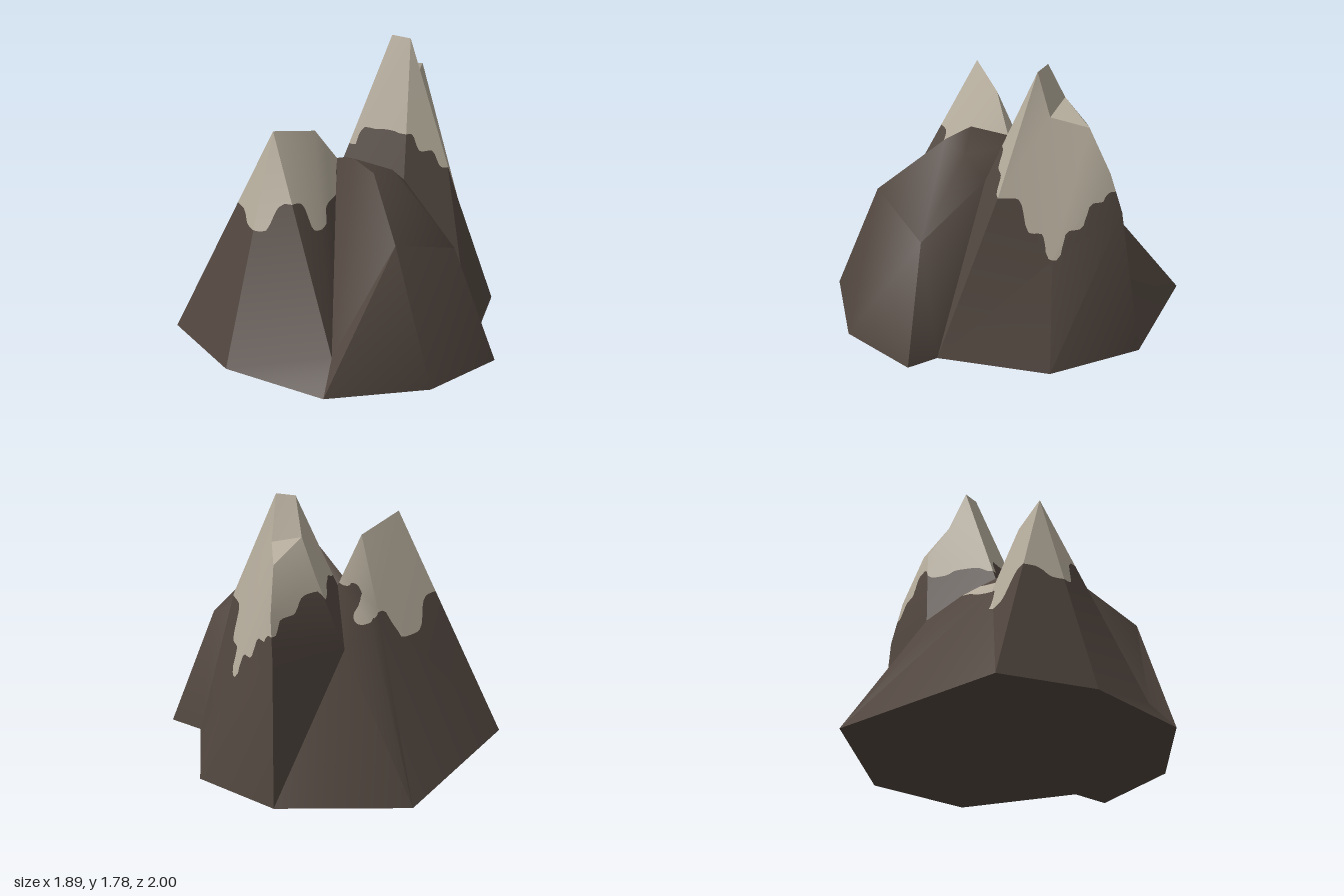
import * as THREE from 'three';
import { toCreasedNormals } from 'three/addons/utils/BufferGeometryUtils.js';

// Corner points of the ridges, valleys and foot [x, y, z]
const P = {
  b0: [-0.95, 0, 0], b1: [-0.26, 0, -1], b2: [0.56, 0, -0.87], b3: [0.92, 0, -0.38], b4: [0.8, 0, 0.31],
  b5: [0.94, 0, 0.47], b6: [0.56, 0, 0.87], b7: [-0.08, 0, 1], b8: [-0.66, 0, 0.59],
  // left peak and saddle
  A1: [-0.38, 1.39, 0.21], A2: [-0.13, 1.32, 0.06], L: [-0.2, 0.9, -0.09], V: [-0.03, 0.19, 0.83],
  C: [0, 1.1, -0.02], M: [-0.13, 0.9, -0.28], Q: [0.07, 0.84, -0.51], S: [0.04, 1.07, -0.09],
  // front hump
  T1: [0.1, 1.2, 0.19], T2: [0.22, 1.17, 0.33], T3: [0.33, 1.13, 0.2], R: [0.4, 1.0, 0.07],
  H1: [0.35, 0.88, 0.72], H2: [0.7, 0.72, 0.42],
};
// rear peak
const REAR = {
  A3: [0.44, 1.78, -0.25], A4: [0.33, 1.78, -0.3], D1: [0.48, 1.5, -0.33], D2: [0.31, 1.55, -0.4],
  D3: [0.25, 1.35, -0.52], B: [0.51, 1.46, -0.57], F: [0.66, 1.04, -0.04], G: [0.72, 0.66, -0.37],
  K1: [0.55, 0.92, -0.77], K2: [0.55, 1.18, -0.7],
};
Object.assign(P, REAR);

// Faces of each part, as corner names
const PARTS = [
  { name: 'leftPeak', crease: 0.45, snow: true,
    faces: 'A1 b0 b8,A1 b8 V,b8 b7 V,A1 b0 L,A1 L A2,A1 A2 V,A2 C V' },
  { name: 'backSlope', crease: 1.2, snow: true,
    faces: 'A2 L C,b0 b1 L,L b1 M,L M C,M b1 Q,M Q S,M S C,b1 b2 Q' },
  { name: 'frontHump', crease: 1.3, snow: false,
    faces: 'C S T1,S R T3,S T3 T1,C T1 V,T1 T3 T2,T1 T2 V,V T2 H1,V b7 H1,b7 b6 H1,' +
      'T2 T3 H2,T2 H2 H1,H1 H2 b6,H2 b5 b6,T3 R H2,R b4 H2,H2 b4 b5' },
  { name: 'rearPeak', crease: 0.5, snow: true,
    faces: 'S R A3,S A3 A4,R F A3,R b4 F,F b4 G,b4 b3 G,A3 F D1,D1 F G,D1 G B,B G K2,G b3 K1,G K1 K2,b3 b2 K1,' +
      'A3 D1 A4,A4 D1 D2,D1 B D2,D2 B D3,B K2 D3,D3 K2 Q,K2 K1 Q,K1 b2 Q,S A4 D2,S D2 D3,S D3 Q' },
];

// Samples of the snow line: x, height, z
const SNOW_LEFT = [
  [-0.59, 0.88, 0.14], [-0.5, 0.81, 0.37], [-0.26, 1.0, 0.42], [-0.08, 0.83, 0.4], [-0.03, 0.93, 0.2],
  [0, 1.05, -0.05], [-0.13, 0.9, -0.28], [-0.2, 0.88, -0.14], [-0.4, 0.69, -0.06], [0.05, 1.2, -0.12],
];
const SNOW_REAR = [
  [0.1, 1.15, -0.1], [0.16, 1.26, -0.09], [0.3, 1.26, -0.05], [0.41, 1.25, -0.04], [0.53, 1.14, -0.04],
  [0.66, 1.03, -0.05], [0.67, 1.03, -0.1], [0.7, 0.82, -0.28], [0.72, 0.66, -0.37], [0.68, 0.84, -0.5],
  [0.6, 1.0, -0.65], [0.56, 1.06, -0.71], [0.45, 1.15, -0.66], [0.28, 1.25, -0.56], [0.15, 1.17, -0.45],
  [0.14, 1.2, -0.3],
];

// Height above the snow line, blended from the nearest samples
function aboveSnowLine(p, samples) {
  let sum = 0, total = 0;
  for (const [x, y, z] of samples) {
    const w = 1 / (((p.x - x) ** 2 + (p.z - z) ** 2) ** 2 + 1e-7);
    sum += w * y;
    total += w;
  }
  return p.y - sum / total;
}

// Every face of the slopes looks upward
function coarseGeometry(faces, crease) {
  const out = [];
  for (const face of faces.split(',')) {
    let [a, b, c] = face.split(' ').map((n) => new THREE.Vector3(...P[n]));
    const up = b.clone().sub(a).cross(c.clone().sub(a)).y;
    if (up < 0) [b, c] = [c, b];
    for (const v of [a, b, c]) out.push(v.x, v.y, v.z);
  }
  const g = new THREE.BufferGeometry();
  g.setAttribute('position', new THREE.Float32BufferAttribute(out, 3));
  return toCreasedNormals(g, crease);
}

const mix = (a, b, t) => ({ p: a.p.clone().lerp(b.p, t), n: a.n.clone().lerp(b.n, t).normalize() });

// Keeps the part of a triangle where sign * h is positive
function clip(tri, sign, list) {
  const poly = [];
  tri.forEach((a, i) => {
    const b = tri[(i + 1) % 3];
    if (a.h * sign >= 0) poly.push(a);
    if (a.h * b.h < 0) poly.push(mix(a, b, a.h / (a.h - b.h)));
  });
  for (let i = 2; i < poly.length; i++) list.push(poly[0], poly[i - 1], poly[i]);
}

// Divides a triangle finely, then cuts it along the snow line
function divide(a, b, c, depth, samples, snow, rock) {
  if (depth > 0) {
    const ab = mix(a, b, 0.5), bc = mix(b, c, 0.5), ca = mix(c, a, 0.5);
    for (const t of [[a, ab, ca], [ab, b, bc], [ca, bc, c], [ab, bc, ca]]) divide(...t, depth - 1, samples, snow, rock);
    return;
  }
  const tri = [a, b, c].map((v) => ({ ...v, h: aboveSnowLine(v.p, samples) || 1e-9 }));
  clip(tri, 1, snow);
  clip(tri, -1, rock);
}

function toGeometry(list) {
  const g = new THREE.BufferGeometry();
  g.setAttribute('position', new THREE.Float32BufferAttribute(list.flatMap((v) => v.p.toArray()), 3));
  g.setAttribute('normal', new THREE.Float32BufferAttribute(list.flatMap((v) => v.n.toArray()), 3));
  return g;
}

export function createModel() {
  const rockMat = new THREE.MeshStandardMaterial({ color: 0x51463f });
  rockMat.name = 'brown rock';
  const snowMat = new THREE.MeshStandardMaterial({ color: 0xb3aa9a });
  snowMat.name = 'pale snow';

  const model = new THREE.Group();
  model.name = 'mountain';
  const add = (geometry, material, name) => {
    const mesh = new THREE.Mesh(geometry, material);
    mesh.name = name;
    model.add(mesh);
  };

  // Slopes, with snow caps on the peaks
  for (const { name, crease, snow, faces } of PARTS) {
    const coarse = coarseGeometry(faces, crease);
    if (!snow) {
      add(coarse, rockMat, name);
      continue;
    }
    const { position, normal } = coarse.attributes;
    const corner = (i) => ({
      p: new THREE.Vector3().fromBufferAttribute(position, i),
      n: new THREE.Vector3().fromBufferAttribute(normal, i),
    });
    const samples = name === 'rearPeak' ? SNOW_REAR : SNOW_LEFT;
    const snowList = [], rockList = [];
    for (let i = 0; i < position.count; i += 3) {
      divide(corner(i), corner(i + 1), corner(i + 2), 4, samples, snowList, rockList);
    }
    add(toGeometry(rockList), rockMat, name);
    add(toGeometry(snowList), snowMat, name + 'Snow');
  }

  // Flat underside
  const outline = new THREE.Shape([0, 1, 2, 3, 4, 5, 6, 7, 8].map((i) => new THREE.Vector2(P['b' + i][0], P['b' + i][2])));
  add(new THREE.ShapeGeometry(outline).rotateX(Math.PI / 2), rockMat, 'underside');
  return model;
}
